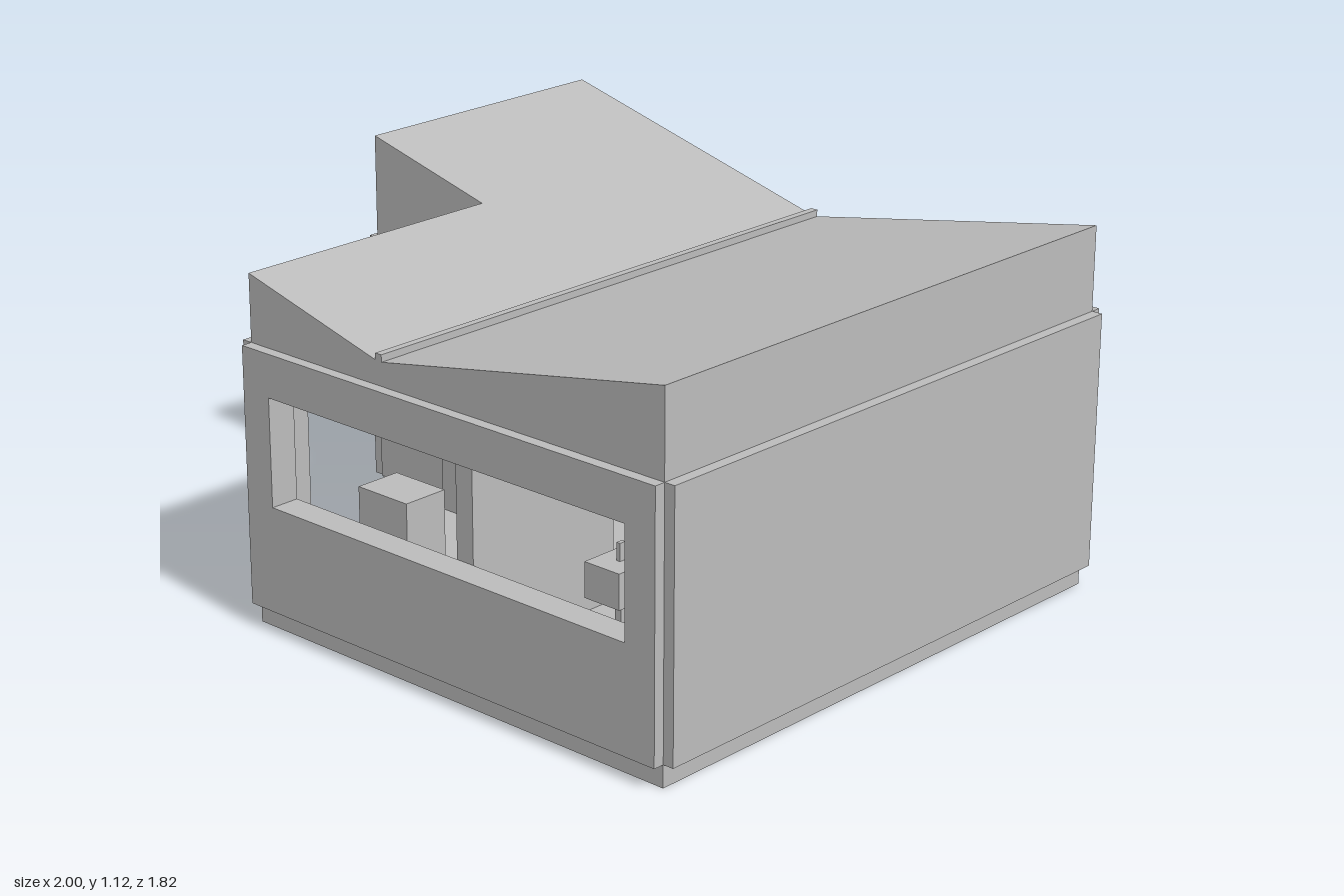
import * as THREE from 'three';

const grey = new THREE.MeshStandardMaterial({ color: 0xbcbcbc });
grey.name = 'plain grey';

const WEST = -0.97, NOTCH = -0.53, EAST = 0.965, DEPTH = 0.875;
const FLOOR = 0.11, CEILING = 0.76, WALL = 0.055;
const windowHeights = [0.375, 0.69], doorHeights = [0.11, 0.715];

function shapeOf(points) {
  return new THREE.Shape(points.map(([x, y]) => new THREE.Vector2(x, y)));
}

function rectangle(u0, u1, v0, v1) {
  return [[u0, v0], [u1, v0], [u1, v1], [u0, v1]];
}

function extrude(shape, depth) {
  return new THREE.ExtrudeGeometry(shape, { depth, bevelEnabled: false });
}

function add(parent, name, geometry) {
  const mesh = new THREE.Mesh(geometry, grey);
  mesh.name = name;
  parent.add(mesh);
  return mesh;
}

function box(parent, name, x0, x1, y0, y1, z0, z1) {
  const mesh = add(parent, name, new THREE.BoxGeometry(x1 - x0, y1 - y0, z1 - z0));
  mesh.position.set((x0 + x1) / 2, (y0 + y1) / 2, (z0 + z1) / 2);
}

// One upright sheet with an optional opening, turned to face its side
function sheet(parent, name, angle, u0, u1, y0, y1, from, to, hole) {
  const shape = shapeOf(rectangle(u0, u1, y0, y1));
  if (hole) {
    shape.holes.push(new THREE.Path(
      rectangle(...hole).map(([x, y]) => new THREE.Vector2(x, y))));
  }
  const geometry = extrude(shape, to - from);
  geometry.translate(0, 0, from);
  geometry.rotateY(angle);
  add(parent, name, geometry);
}

export function createModel() {
  const house = new THREE.Group();
  house.name = 'house';

  // L-shaped floor slab
  const plan = shapeOf([
    [WEST, -DEPTH], [EAST, -DEPTH], [EAST, DEPTH], [NOTCH, DEPTH], [NOTCH, 0], [WEST, 0],
  ].map(([x, z]) => [x, -z]).reverse());
  const slab = extrude(plan, FLOOR);
  slab.rotateX(-Math.PI / 2);
  add(house, 'floorSlab', slab);

  // Inner walls, each with an outer cladding panel that leaves the corners notched
  const q = Math.PI / 2;
  const sides = [
    { name: 'front', angle: 0, u: [NOTCH, EAST], d: DEPTH, hole: [-0.43, 0.865, ...windowHeights] },
    { name: 'left', angle: q, u: [-DEPTH, DEPTH], d: EAST },
    { name: 'back', angle: 2 * q, u: [-EAST, -WEST], d: DEPTH, hole: [-0.28, 0.28, ...doorHeights] },
    { name: 'wingRight', angle: -q, u: [-DEPTH, 0], d: -WEST, hole: [-0.75, -0.1, ...windowHeights] },
    { name: 'porch', angle: -q, u: [0, DEPTH], d: -NOTCH, hole: [0.145, 0.73, ...doorHeights] },
    { name: 'wingFront', angle: 0, u: [WEST, NOTCH], d: 0, clad: 0.006 },
  ];
  for (const { name, angle, u, d, hole, clad = 0.033 } of sides) {
    // Doors reach the floor, so keep the wall a hair below their sill
    sheet(house, name + 'Wall', angle, u[0], u[1], FLOOR - 0.02, CEILING, d - WALL, d, hole);
    sheet(house, name + 'Panel', angle, u[0], u[1], 0.065, 0.815, d, d + clad, hole);
  }

  // Butterfly roof: full width at the back, narrower beside the notch
  const valley = -0.03, low = 0.88, westTop = 1.125, eastTop = 1.062;
  const roofAt = (x) => low + (westTop - low) * (valley - x) / (valley - WEST);
  const roof = (name, x, z0, z1) => {
    const profile = shapeOf([
      [x, CEILING], [EAST, CEILING], [EAST, eastTop], [valley, low], [x, roofAt(x)],
    ]);
    const geometry = extrude(profile, z1 - z0);
    geometry.translate(0, 0, z0);
    add(house, name, geometry);
  };
  roof('backRoof', WEST, -DEPTH, 0);
  roof('frontRoof', NOTCH, 0, DEPTH);
  box(house, 'valleyRidge', -0.043, -0.02, 0.87, 0.902, -DEPTH, DEPTH);

  // Partitions with a passage between them
  box(house, 'frontPartition', 0.19, 0.25, FLOOR, CEILING, 0.29, 0.82);
  box(house, 'backPartition', 0.19, 0.25, FLOOR, CEILING, -0.82, -0.25);

  // Furniture
  box(house, 'cabinet', -0.225, -0.04, FLOOR, 0.455, 0.64, 0.78);
  box(house, 'basin', 0.58, 0.7, 0.36, 0.46, 0.62, 0.75);
  box(house, 'basinStand', 0.63, 0.65, FLOOR, 0.36, 0.67, 0.69);
  box(house, 'tap', 0.635, 0.647, 0.46, 0.51, 0.67, 0.69);
  box(house, 'cupboard', 0.79, 0.91, FLOOR, 0.49, -0.8, -0.5);

  return house;
}
